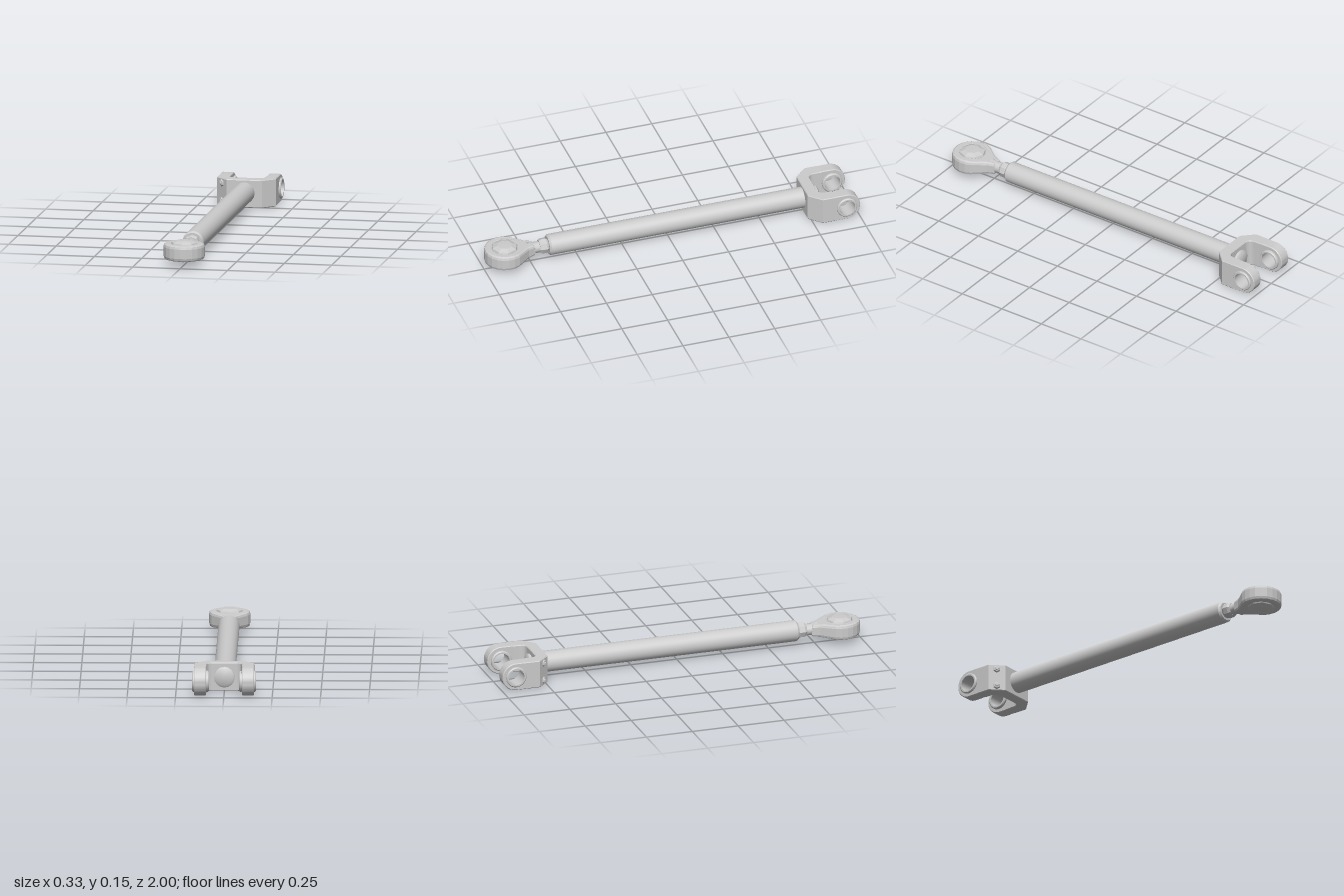
import * as THREE from 'three';
import { toCreasedNormals } from 'three/addons/utils/BufferGeometryUtils.js';

export function createModel() {
  const model = new THREE.Group();
  const smooth = new THREE.MeshStandardMaterial({ color: 0xcccccc });
  const faceted = new THREE.MeshStandardMaterial({ color: 0xcccccc, flatShading: true });
  const rodY = 0.078, forkY = 0.0735, pinZ = -0.927, eyeZ = 0.888;

  function add(name, geometry, material, x = 0, y = 0, z = 0, parent = model) {
    const mesh = new THREE.Mesh(geometry, material);
    mesh.name = name;
    mesh.position.set(x, y, z);
    parent.add(mesh);
    return mesh;
  }
  // Lathe from [radius, height] pairs, with creased edges
  const turn = (pts, sides) => toCreasedNormals(
    new THREE.LatheGeometry(pts.map(p => new THREE.Vector2(...p)), sides), 0.6);

  // Rod with chamfered ends, along z
  add('rod', turn([[0, -0.74], [0.055, -0.74], [0.055, 0.646], [0.047, 0.656], [0.036, 0.656], [0.034, 0.645], [0, 0.645]], 32)
    .rotateX(Math.PI / 2), smooth, 0, rodY, 0);

  // Lock nut and threaded neck of the rod end
  add('lockNut', turn([[0, 0.64], [0.03, 0.648], [0.041, 0.665], [0.041, 0.69], [0.034, 0.702], [0, 0.702]], 8)
    .rotateX(Math.PI / 2), faceted, 0, rodY, 0);
  add('neck', turn([[0, 0.69], [0.03, 0.69], [0.03, 0.73], [0.037, 0.765], [0, 0.765]], 12)
    .rotateX(Math.PI / 2), smooth, 0, rodY - 0.002, 0);

  // Teardrop eye, drawn in plan and thinned toward the neck
  const bevel = 0.012, eyeR = 0.107 - bevel;
  const outline = new THREE.Shape();
  outline.moveTo(-0.02, 0.742);
  outline.lineTo(0.02, 0.742);
  outline.lineTo(0.032, 0.775);
  for (let i = 0; i <= 14; i++) {
    const a = -0.5 + i * (Math.PI + 1) / 14;
    outline.lineTo(eyeR * Math.cos(a), eyeZ + eyeR * Math.sin(a));
  }
  outline.lineTo(-0.032, 0.775);
  const socket = new THREE.Path();
  socket.absarc(0, eyeZ, 0.072, 0, Math.PI * 2, true);
  outline.holes.push(socket);
  const eye = new THREE.ExtrudeGeometry(outline, {
    depth: 0.048, bevelThickness: 0.016, bevelSize: bevel, bevelSegments: 2, curveSegments: 10
  });
  eye.translate(0, 0, -0.024).rotateX(Math.PI / 2);
  const pos = eye.attributes.position;
  for (let i = 0; i < pos.count; i++) {
    const t = THREE.MathUtils.clamp((pos.getZ(i) - 0.73) / 0.13, 0, 1);
    pos.setY(i, pos.getY(i) * THREE.MathUtils.lerp(0.8, 1.02, t));
  }
  add('rodEye', eye, faceted, 0, 0.074, 0);
  add('eyeBall', new THREE.LatheGeometry([[0, -0.055], [0.04, -0.054], [0.066, -0.044], [0.074, -0.025], [0.074, 0.025],
    [0.066, 0.044], [0.04, 0.054], [0, 0.055]].map(p => new THREE.Vector2(...p)), 8), faceted, 0, 0.075, eyeZ);

  // Fork bridge: U-shaped plan with chamfered outer and rounded inner corners
  const bridge = new THREE.Shape();
  bridge.moveTo(-0.092, -0.736);
  bridge.lineTo(-0.153, -0.797);
  bridge.lineTo(-0.153, -0.865);
  bridge.lineTo(-0.093, -0.865);
  bridge.lineTo(-0.093, -0.83);
  bridge.quadraticCurveTo(-0.093, -0.793, -0.056, -0.793);
  bridge.lineTo(0.056, -0.793);
  bridge.quadraticCurveTo(0.093, -0.793, 0.093, -0.83);
  bridge.lineTo(0.093, -0.865);
  bridge.lineTo(0.153, -0.865);
  bridge.lineTo(0.153, -0.797);
  bridge.lineTo(0.092, -0.736);
  const bridgeGeo = new THREE.ExtrudeGeometry(bridge, {
    depth: 0.139, bevelThickness: 0.004, bevelSize: 0.003, bevelOffset: -0.001, bevelSegments: 1, curveSegments: 8
  });
  bridgeGeo.translate(0, 0, -0.0695).rotateX(Math.PI / 2);
  add('forkBridge', toCreasedNormals(bridgeGeo, 0.6), smooth, 0, forkY, 0);

  // Fork arm profile with rounded end and pin hole; shape x runs along -z
  const arm = new THREE.Shape();
  arm.moveTo(-0.068, -0.07);
  arm.lineTo(0, -0.07);
  arm.absarc(0, 0, 0.07, -Math.PI / 2, Math.PI / 2, false);
  arm.lineTo(-0.068, 0.07);
  const pinHole = new THREE.Path();
  pinHole.absarc(0, 0, 0.047, 0, Math.PI * 2, true);
  arm.holes.push(pinHole);
  const armGeo = new THREE.ExtrudeGeometry(arm, {
    depth: 0.054, bevelThickness: 0.004, bevelSize: 0.0035, bevelSegments: 1, curveSegments: 14
  });
  armGeo.translate(0, 0, -0.027).rotateY(Math.PI / 2);
  const armCreased = toCreasedNormals(armGeo, 0.6);

  // Flanged bushing as a closed ring profile, along x
  const bushing = turn([[0.042, -0.045], [0.05, -0.045], [0.055, -0.04], [0.055, -0.031], [0.046, -0.031],
    [0.046, 0.031], [0.055, 0.031], [0.055, 0.037], [0.05, 0.042], [0.042, 0.042], [0.042, -0.045]], 24)
    .rotateZ(-Math.PI / 2);

  for (const [label, side] of [['left', 1], ['right', -1]]) {
    add(label + 'ForkArm', armCreased, smooth, side * 0.124, forkY, pinZ);
    const ring = add(label + 'Bushing', bushing, smooth, side * 0.123, forkY, pinZ);
    if (side < 0) ring.rotation.y = Math.PI;
  }

  // Retaining bolt head inside the fork
  add('forkBolt', turn([[0, -0.03], [0.042, -0.03], [0.054, -0.022], [0.054, -0.01], [0.035, -0.01], [0.035, 0.02]], 16)
    .rotateX(Math.PI / 2), smooth, 0, forkY, -0.789);

  // Pair of small screws on the right chamfer of the fork
  const screws = new THREE.Group();
  screws.name = 'chamferScrews';
  screws.position.set(-0.124, forkY, -0.767);
  screws.rotation.y = -Math.PI / 4;
  model.add(screws);
  for (const y of [-0.047, 0.047]) {
    add('screwBoss', new THREE.CylinderGeometry(0.014, 0.023, 0.008, 6).rotateX(Math.PI / 2), faceted, 0, y, 0.003, screws);
    add('screwHead', new THREE.CylinderGeometry(0.007, 0.009, 0.01, 6).rotateX(Math.PI / 2), faceted, 0, y, 0.008, screws);
  }
  return model;
}
